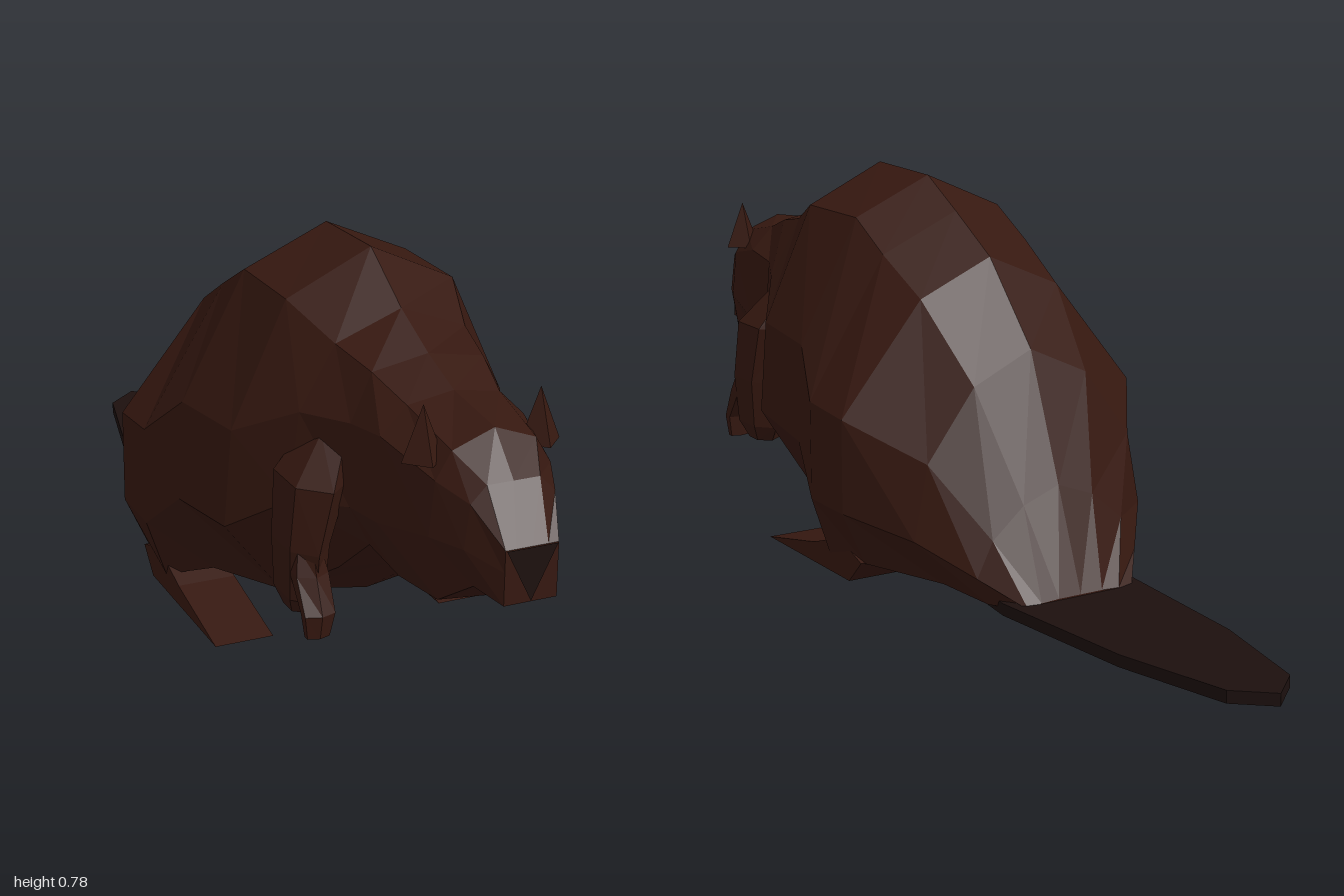
import * as THREE from 'three';

const fur = new THREE.MeshStandardMaterial({ color: 0x361810, flatShading: true });
const dark = new THREE.MeshStandardMaterial({ color: 0x1c100e, flatShading: true });

// Skin a list of closed rings (each counter-clockwise about the direction of travel) and cap the ends
function loft(rings) {
  const n = rings[0].length, index = [];
  for (let i = 0; i < rings.length - 1; i++) {
    for (let j = 0; j < n; j++) {
      const a = i * n + j, b = i * n + (j + 1) % n;
      index.push(a, b, b + n, a, b + n, a + n);
    }
  }
  const last = (rings.length - 1) * n;
  for (let j = 1; j < n - 1; j++) index.push(0, j + 1, j, last, last + j, last + j + 1);
  const geometry = new THREE.BufferGeometry();
  geometry.setAttribute('position', new THREE.Float32BufferAttribute(rings.flat(2), 3));
  geometry.setIndex(index);
  geometry.computeVertexNormals();
  return geometry;
}

// Symmetric body ring: crown, four side points from top to bottom, keel
function bodyRing([z, top, sides, bottom]) {
  const left = sides.map(([x, y]) => [x, y, z]);
  const right = sides.map(([x, y]) => [-x, y, z]);
  return [[0, top, z], ...right, [0, bottom, z], ...left.reverse()];
}

// Six-sided limb from rings [x, y, z, radiusX, radiusZ], listed bottom to top
function limb(rings) {
  return loft(rings.map(([x, y, z, rx, rz]) => Array.from({ length: 6 }, (_, k) => {
    const a = (k * Math.PI) / 3;
    return [x + rx * Math.sin(a), y, z + rz * Math.cos(a)];
  })));
}

function part(name, geometry, material = fur) {
  const mesh = new THREE.Mesh(geometry, material);
  mesh.name = name;
  return mesh;
}

// Ear, foreleg, paw and hind foot of the left side
function createSide(name) {
  const side = new THREE.Group();
  side.name = name;

  const ear = part('ear', new THREE.ConeGeometry(0.04, 0.1, 4));
  ear.position.set(0.112, 0.592, 0.815);
  side.add(ear);

  side.add(part('foreleg', limb([
    [0.21, 0.165, 0.53, 0.03, 0.04],
    [0.215, 0.2, 0.535, 0.04, 0.075],
    [0.215, 0.3, 0.54, 0.045, 0.085],
    [0.19, 0.42, 0.53, 0.06, 0.1],
    [0.14, 0.5, 0.51, 0.04, 0.06],
  ])));
  side.add(part('forepaw', limb([
    [0.222, 0.15, 0.632, 0.025, 0.014],
    [0.22, 0.195, 0.632, 0.034, 0.02],
    [0.22, 0.26, 0.59, 0.036, 0.035],
    [0.22, 0.31, 0.57, 0.025, 0.04],
  ])));

  // Webbed foot: side profile swept across its width
  const profile = [[0.33, 0], [0.13, 0.042], [0.02, 0.08], [-0.07, 0.05], [-0.02, 0]];
  const foot = new THREE.ExtrudeGeometry(
    new THREE.Shape(profile.map(([z, y]) => new THREE.Vector2(z, y))),
    { depth: 0.12, bevelEnabled: false });
  foot.rotateY(-Math.PI / 2).translate(0.3, 0.002, 0);
  side.add(part('hindFoot', foot));
  return side;
}

export function createModel() {
  const model = new THREE.Group();
  model.name = 'beaver';

  // Head and body in one skin, rump to muzzle
  const sections = [
    [-0.40, 0.03, [[0.05, 0.03], [0.09, 0.028], [0.12, 0.02], [0.1, 0.012]], 0.01],
    [-0.32, 0.23, [[0.08, 0.2], [0.15, 0.14], [0.185, 0.07], [0.16, 0.015]], 0.008],
    [-0.22, 0.48, [[0.13, 0.42], [0.235, 0.28], [0.265, 0.13], [0.2, 0.035]], 0.03],
    [-0.07, 0.64, [[0.16, 0.57], [0.34, 0.35], [0.34, 0.16], [0.29, 0.05]], 0.05],
    [0.06, 0.715, [[0.17, 0.64], [0.34, 0.36], [0.34, 0.16], [0.3, 0.04]], 0.075],
    [0.17, 0.775, [[0.17, 0.7], [0.3, 0.45], [0.31, 0.25], [0.24, 0.09]], 0.08],
    [0.37, 0.78, [[0.17, 0.7], [0.28, 0.46], [0.295, 0.27], [0.18, 0.12]], 0.09],
    [0.50, 0.7, [[0.13, 0.65], [0.2, 0.53], [0.22, 0.36], [0.12, 0.21]], 0.2],
    [0.61, 0.65, [[0.11, 0.63], [0.15, 0.54], [0.15, 0.38], [0.11, 0.3]], 0.29],
    [0.71, 0.615, [[0.09, 0.6], [0.14, 0.55], [0.145, 0.39], [0.1, 0.28]], 0.27],
    [0.86, 0.6, [[0.08, 0.57], [0.11, 0.52], [0.12, 0.42], [0.1, 0.3]], 0.29],
    [0.93, 0.53, [[0.05, 0.53], [0.08, 0.5], [0.09, 0.42], [0.07, 0.35]], 0.35],
    [1.00, 0.44, [[0.03, 0.44], [0.05, 0.44], [0.05, 0.4], [0.05, 0.34]], 0.34],
  ];
  model.add(part('body', loft(sections.map(bodyRing))));

  // Nose patch on the muzzle
  const nose = part('nose', new THREE.ShapeGeometry(new THREE.Shape([
    new THREE.Vector2(-0.048, 0.439), new THREE.Vector2(0, 0.342), new THREE.Vector2(0.048, 0.439),
  ])), dark);
  nose.position.z = 1.002;
  model.add(nose);

  // Flat paddle tail
  const half = [[0.13, -0.2], [0.152, -0.36], [0.125, -0.7], [0.07, -0.94]];
  const outline = [...half, [0, -1], ...half.map(([x, z]) => [-x, z]).reverse()];
  const tail = new THREE.ExtrudeGeometry(
    new THREE.Shape(outline.map(([x, z]) => new THREE.Vector2(x, -z))),
    { depth: 0.024, bevelEnabled: false });
  tail.rotateX(-Math.PI / 2).translate(0, 0.003, 0);
  model.add(part('tail', tail, dark));

  const left = createSide('leftSide');
  const right = createSide('rightSide');
  right.scale.x = -1;
  model.add(left, right);
  return model;
}
